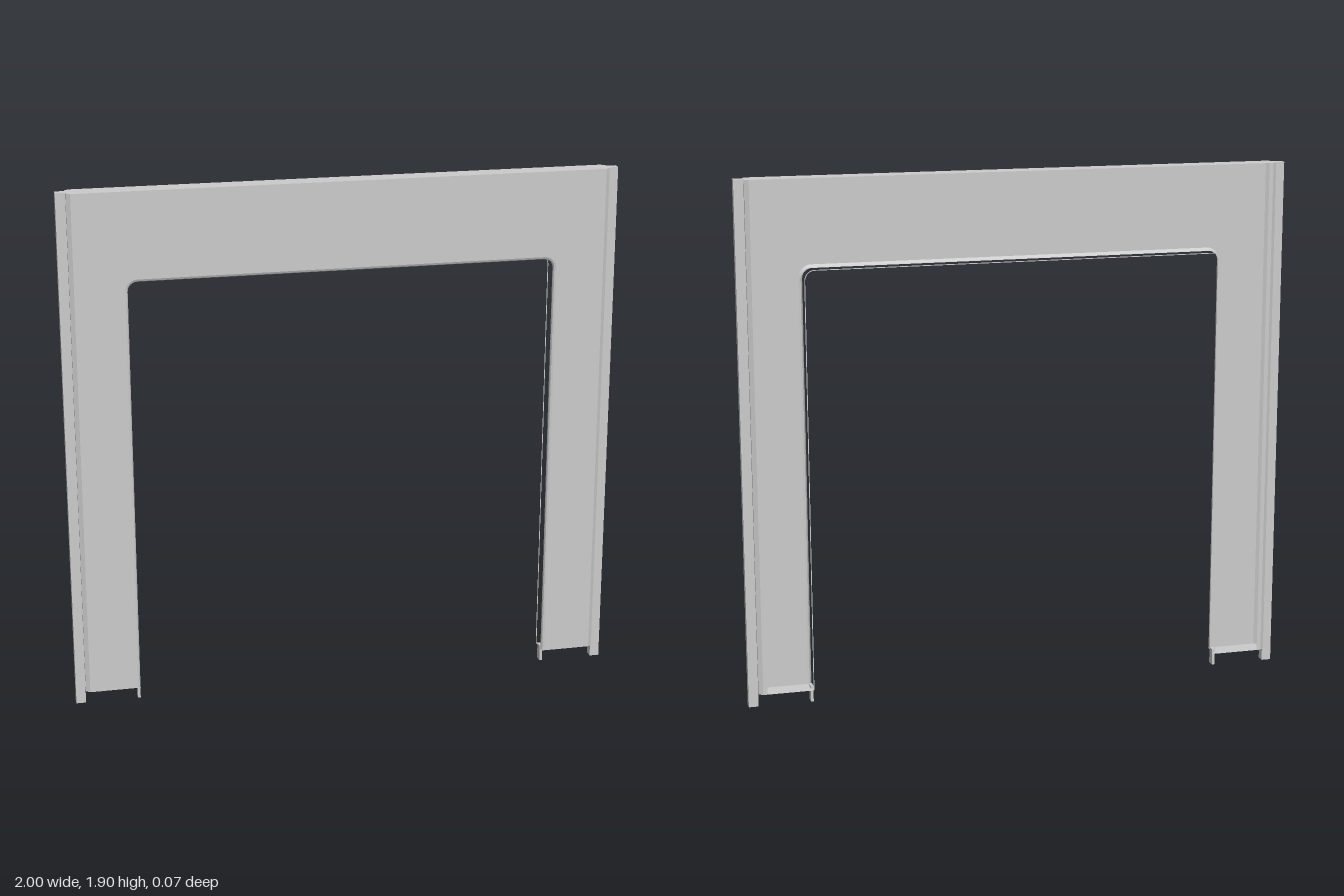
import * as THREE from 'three';

const material = new THREE.MeshStandardMaterial({ color: 0xcccccc, side: THREE.DoubleSide });
const TOP = 1.9, SILL = 0.05, DEPTH = 0.037;

function add(group, name, geometry, x = 0, y = 0, z = 0) {
  const mesh = new THREE.Mesh(geometry, material);
  mesh.name = name;
  mesh.position.set(x, y, z);
  group.add(mesh);
  return mesh;
}

// Open sheet joining successive rows of points
function loft(rows) {
  const positions = rows.flat(2);
  const n = rows[0].length;
  const index = [];
  for (let r = 0; r < rows.length - 1; r++) {
    for (let i = 0; i < n - 1; i++) {
      const a = r * n + i, b = a + n;
      index.push(a, b, a + 1, a + 1, b, b + 1);
    }
  }
  let g = new THREE.BufferGeometry();
  g.setAttribute('position', new THREE.Float32BufferAttribute(positions, 3));
  g.setIndex(index);
  g = g.toNonIndexed();
  g.computeVertexNormals();
  return g;
}

// Doorway outline with rounded top corners, inset by d into the opening
function doorway(d) {
  const w = 0.775 - d, h = 1.59 - d, r = 0.045 - d;
  const pts = [[-w, SILL]];
  for (const [cx, start] of [[-w + r, Math.PI], [w - r, Math.PI / 2]]) {
    for (let i = 0; i <= 8; i++) {
      const a = start - (i / 8) * Math.PI / 2;
      pts.push([cx + r * Math.cos(a), h - r + r * Math.sin(a)]);
    }
  }
  pts.push([w, SILL]);
  return pts;
}

const doorwayBand = profile =>
  loft(profile.map(([d, z]) => doorway(d).map(([x, y]) => [x, y, z])));

// Horizontal sheet with chamfered outer corners, given as [x, z] points
function flange(points) {
  const shape = new THREE.Shape(points.map(([x, z]) => new THREE.Vector2(x, -z)));
  return new THREE.ShapeGeometry(shape).rotateX(-Math.PI / 2);
}

export function createModel() {
  const model = new THREE.Group();
  model.name = 'doorwayPanel';

  // Front sheet
  const face = new THREE.Shape();
  face.moveTo(-0.95, SILL);
  doorway(0).forEach(([x, y]) => face.lineTo(x, y));
  face.lineTo(0.95, SILL);
  face.lineTo(0.95, TOP);
  face.lineTo(-0.95, TOP);
  face.closePath();
  add(model, 'frontSheet', new THREE.ShapeGeometry(face), 0, 0, DEPTH);

  // Rolled lip and thin rear bead around the opening
  add(model, 'openingLip', doorwayBand([[0, DEPTH], [0.007, 0.034], [0.01, 0.028], [0.01, 0.02]]));
  add(model, 'openingBead', doorwayBand([[0.008, -0.035], [0.011, -0.035]]));

  // Top flange
  add(model, 'topFlange', flange([
    [-0.95, DEPTH], [-0.965, 0.025], [-0.965, -0.025], [-0.95, -DEPTH],
    [0.95, -DEPTH], [0.965, -0.025], [0.965, 0.025], [0.95, DEPTH],
  ]), 0, TOP, 0);

  for (const s of [-1, 1]) {
    const side = new THREE.Group();
    side.name = s > 0 ? 'leftSide' : 'rightSide';
    model.add(side);

    // Folded side wall with a short return along the back
    const section = [[0.95, DEPTH], [0.965, 0.025], [0.965, -0.025], [0.95, -DEPTH], [0.935, -DEPTH]];
    add(side, 'sideWall', loft([SILL, TOP].map(y => section.map(([x, z]) => [s * x, y, z]))));

    // Projecting tongue that runs on below the panel as a foot
    add(side, 'sideTongue', new THREE.BoxGeometry(0.035, TOP, 0.03), s * 0.9825, TOP / 2, 0);

    // Sheet closing the bottom of the leg
    add(side, 'bottomFlange', flange([
      [s * 0.765, DEPTH], [s * 0.95, DEPTH], [s * 0.965, 0.025],
      [s * 0.965, -0.025], [s * 0.95, -DEPTH], [s * 0.765, -DEPTH],
    ]), 0, SILL, 0);

    // Small foot at the opening
    add(side, 'innerFoot', new THREE.BoxGeometry(0.01, 0.06, 0.03), s * 0.769, 0.03, 0);
  }
  return model;
}
